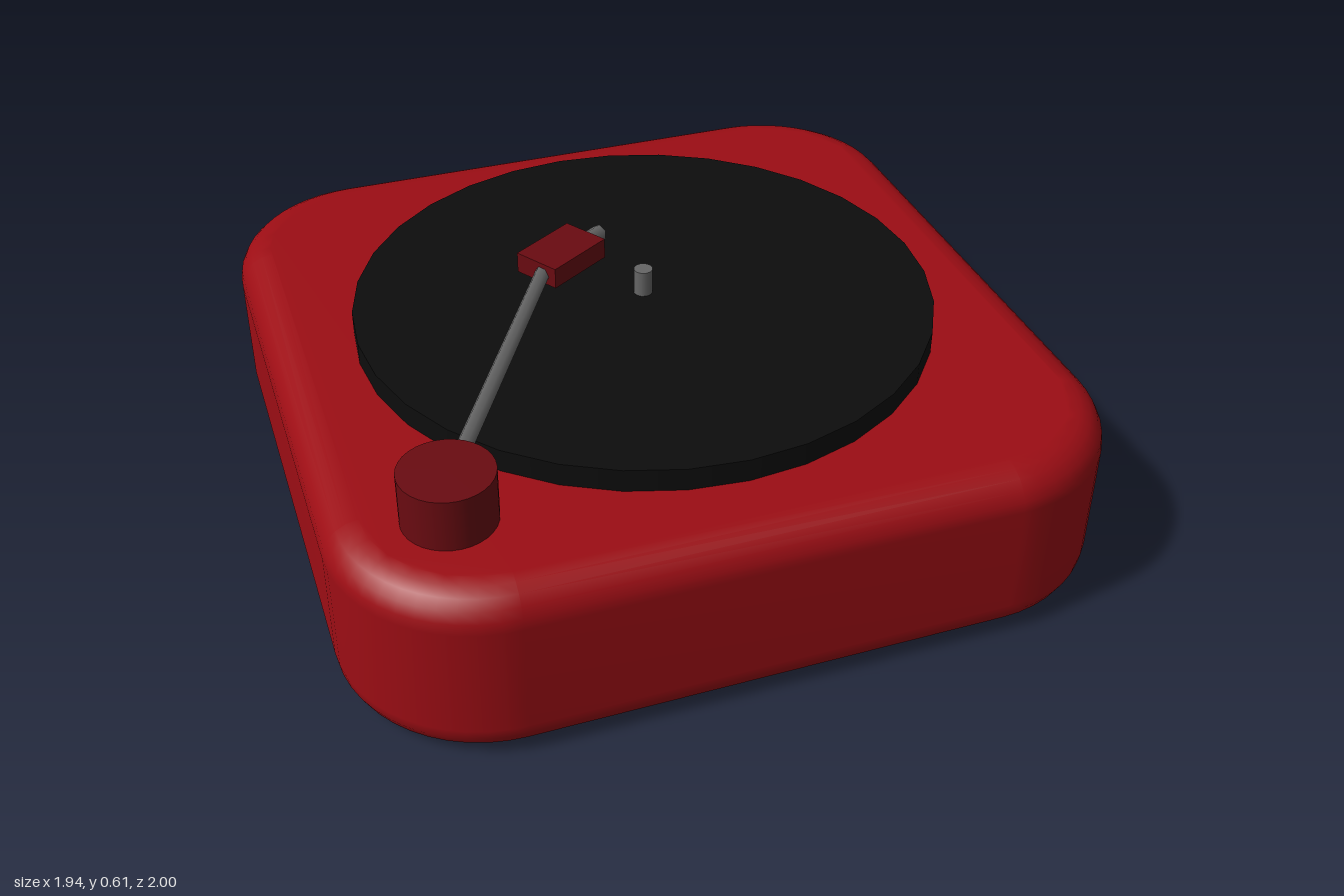
import * as THREE from 'three';
import { mergeVertices } from 'three/addons/utils/BufferGeometryUtils.js';

const mat = (color) => new THREE.MeshStandardMaterial({ color });
const red = mat(0x9c0d14), darkRed = mat(0x6a0b11), black = mat(0x0d0d0d), grey = mat(0x666666);

export function createModel() {
  const model = new THREE.Group();
  const cz = 0.03; // centre of the case and platter in z

  const add = (name, geometry, material, x, y, z) => {
    const mesh = new THREE.Mesh(geometry, material);
    mesh.name = name;
    mesh.position.set(x, y, z);
    model.add(mesh);
    return mesh;
  };
  // Cylinder standing between two heights
  const upright = (name, r, y0, y1, x, z, sides, material) =>
    add(name, new THREE.CylinderGeometry(r, r, y1 - y0, sides), material, x, (y0 + y1) / 2, z);
  // Cylinder between two points
  const rod = (name, a, b, r, sides, material) => {
    const dir = b.clone().sub(a), mid = a.clone().add(b).multiplyScalar(0.5);
    const mesh = add(name, new THREE.CylinderGeometry(r, r, dir.length(), sides), material, mid.x, mid.y, mid.z);
    mesh.quaternion.setFromUnitVectors(new THREE.Vector3(0, 1, 0), dir.normalize());
  };

  // Case: rounded square with rounded rims and soft shading
  const bevel = 0.09, h = 0.97 - bevel, r = 0.28, height = 0.47;
  const outline = new THREE.Shape();
  outline.moveTo(h, -h + r);
  [[1, 1, 0], [-1, 1, 1], [-1, -1, 2], [1, -1, 3]].forEach(([sx, sy, k]) =>
    outline.absarc(sx * (h - r), sy * (h - r), r, k * Math.PI / 2, (k + 1) * Math.PI / 2, false));
  let body = new THREE.ExtrudeGeometry(outline, {
    depth: height - 2 * bevel, bevelEnabled: true, bevelSize: bevel,
    bevelThickness: bevel, bevelSegments: 5, curveSegments: 6,
  });
  body.rotateX(-Math.PI / 2);
  body.deleteAttribute('normal');
  body.deleteAttribute('uv');
  body = mergeVertices(body, 1e-4);
  body.computeVertexNormals();
  add('case', body, red, 0, bevel, cz);

  // Platter and spindle
  upright('platter', 0.755, 0.46, 0.53, 0, cz, 32, black);
  upright('spindle', 0.025, 0.47, 0.6, 0, cz, 12, grey);

  // Tone arm with pivot, head and tip
  const armY = 0.565;
  const pivot = new THREE.Vector3(-0.685, armY, 0.69);
  const head = new THREE.Vector3(-0.167, armY, -0.153);
  upright('armPivot', 0.113, 0.46, 0.605, pivot.x, pivot.z, 32, darkRed);
  rod('toneArm', pivot, new THREE.Vector3(-0.22, armY, -0.12), 0.021, 6, grey);
  add('armHead', new THREE.BoxGeometry(0.2, 0.057, 0.133), darkRed, head.x, 0.568, head.z)
    .rotation.y = 0.56;
  rod('headTip', head, new THREE.Vector3(-0.033, armY, -0.237), 0.024, 6, grey);

  // Knobs on the back
  [[-0.645, 0.064], [0.405, 0.082], [0.65, 0.082]].forEach(([x, radius]) =>
    rod('backKnob', new THREE.Vector3(x, 0.283, -0.8), new THREE.Vector3(x, 0.283, -1), radius, 16, black));

  return model;
}
